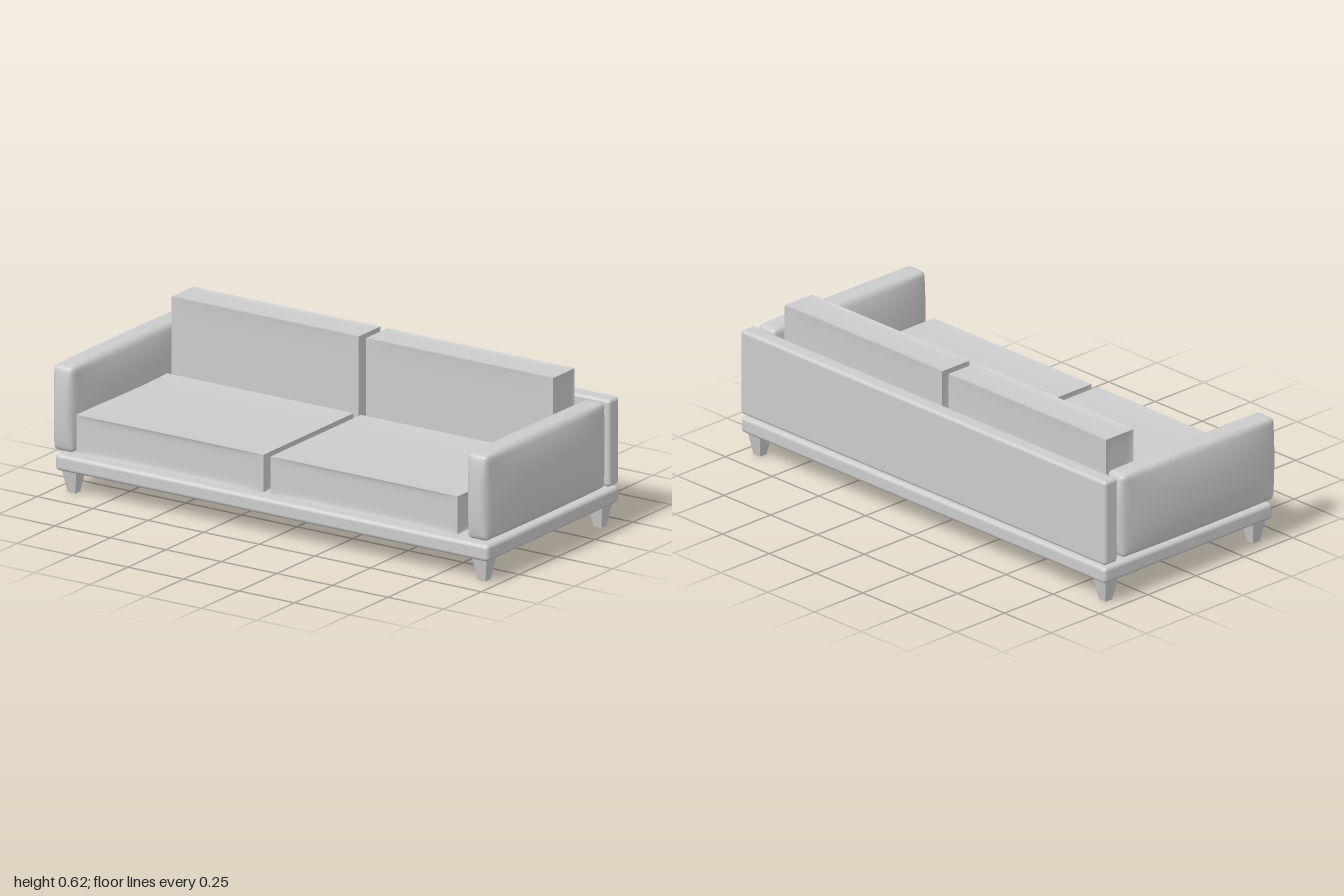
import * as THREE from 'three';
import { RoundedBoxGeometry } from 'three/addons/geometries/RoundedBoxGeometry.js';
import { mergeVertices } from 'three/addons/utils/BufferGeometryUtils.js';

const material = new THREE.MeshStandardMaterial({ color: 0xcccccc });

function addMesh(parent, name, geometry, x, y, z) {
  const mesh = new THREE.Mesh(geometry, material);
  mesh.name = name;
  mesh.position.set(x, y, z);
  parent.add(mesh);
  return mesh;
}

// Box whose faces swell (or sink, when negative) towards their middles; grid is denser near the edges.
function softBox(size, radius, bulge, power, segments = 20) {
  let geo = new THREE.BoxGeometry(2, 2, 2, segments, segments, segments);
  if (radius > 0) {
    geo.deleteAttribute('normal');
    geo.deleteAttribute('uv');
    geo = mergeVertices(geo);
  }
  const half = size.map((s) => s / 2);
  const pos = geo.attributes.position;
  const point = new THREE.Vector3();
  const inner = new THREE.Vector3();
  for (let i = 0; i < pos.count; i++) {
    const unit = point.fromBufferAttribute(pos, i).toArray().map((c) => Math.sin((c * Math.PI) / 2));
    point.set(unit[0] * half[0], unit[1] * half[1], unit[2] * half[2]);
    if (radius > 0) {
      const limit = new THREE.Vector3(...half).subScalar(radius);
      inner.copy(point).clamp(limit.clone().negate(), limit);
      point.sub(inner).setLength(radius).add(inner);
    }
    const p = point.toArray();
    const n = p.map((c, k) => c / half[k]);
    const fade = n.map((c) => 1 - Math.abs(c) ** power);
    const moved = p.map((c, k) => c + bulge[k] * n[k] * fade[(k + 1) % 3] * fade[(k + 2) % 3]);
    pos.setXYZ(i, ...moved);
  }
  geo.computeVertexNormals();
  return geo;
}

// Square leg, narrower at the floor.
function legGeometry() {
  const geo = new THREE.BoxGeometry(0.068, 0.095, 0.068);
  const pos = geo.attributes.position;
  for (let i = 0; i < pos.count; i++) {
    if (pos.getY(i) < 0) pos.setXYZ(i, pos.getX(i) * 0.5, pos.getY(i), pos.getZ(i) * 0.5);
  }
  geo.computeVertexNormals();
  return geo;
}

export function createModel() {
  const sofa = new THREE.Group();
  sofa.name = 'sofa';

  // Platform and legs
  addMesh(sofa, 'base', new RoundedBoxGeometry(1.95, 0.065, 0.873, 4, 0.016), 0.005, 0.122, -0.007);
  const leg = legGeometry();
  for (const [xName, x] of [['Right', -0.92], ['Left', 0.927]]) {
    for (const [zName, z] of [['front', 0.374], ['back', -0.391]]) {
      addMesh(sofa, `${zName}${xName}Leg`, leg, x, 0.0475, z);
    }
  }

  // Back panel
  addMesh(sofa, 'backrest', new RoundedBoxGeometry(1.95, 0.341, 0.068, 4, 0.014), 0.005, 0.3345, -0.409);

  // Swollen armrests
  const arm = softBox([0.09, 0.334, 0.785], 0.018, [0.0225, 0.006, 0.017], 2.5, 24);
  addMesh(sofa, 'rightArm', arm, -0.9325, 0.337, 0.038);
  addMesh(sofa, 'leftArm', arm, 0.9325, 0.337, 0.038);

  // Seat and back cushions with slightly sunken faces and crisp rims
  const seat = softBox([0.842, 0.147, 0.597], 0, [-0.005, -0.005, -0.005], 8, 16);
  const back = softBox([0.842, 0.437, 0.143], 0, [-0.005, -0.005, -0.003], 8, 16);
  for (const [side, x] of [['right', -0.45], ['left', 0.425]]) {
    addMesh(sofa, `${side}SeatCushion`, seat, x, 0.252, 0.132);
    addMesh(sofa, `${side}BackCushion`, back, x, 0.3985, -0.271);
  }

  return sofa;
}
